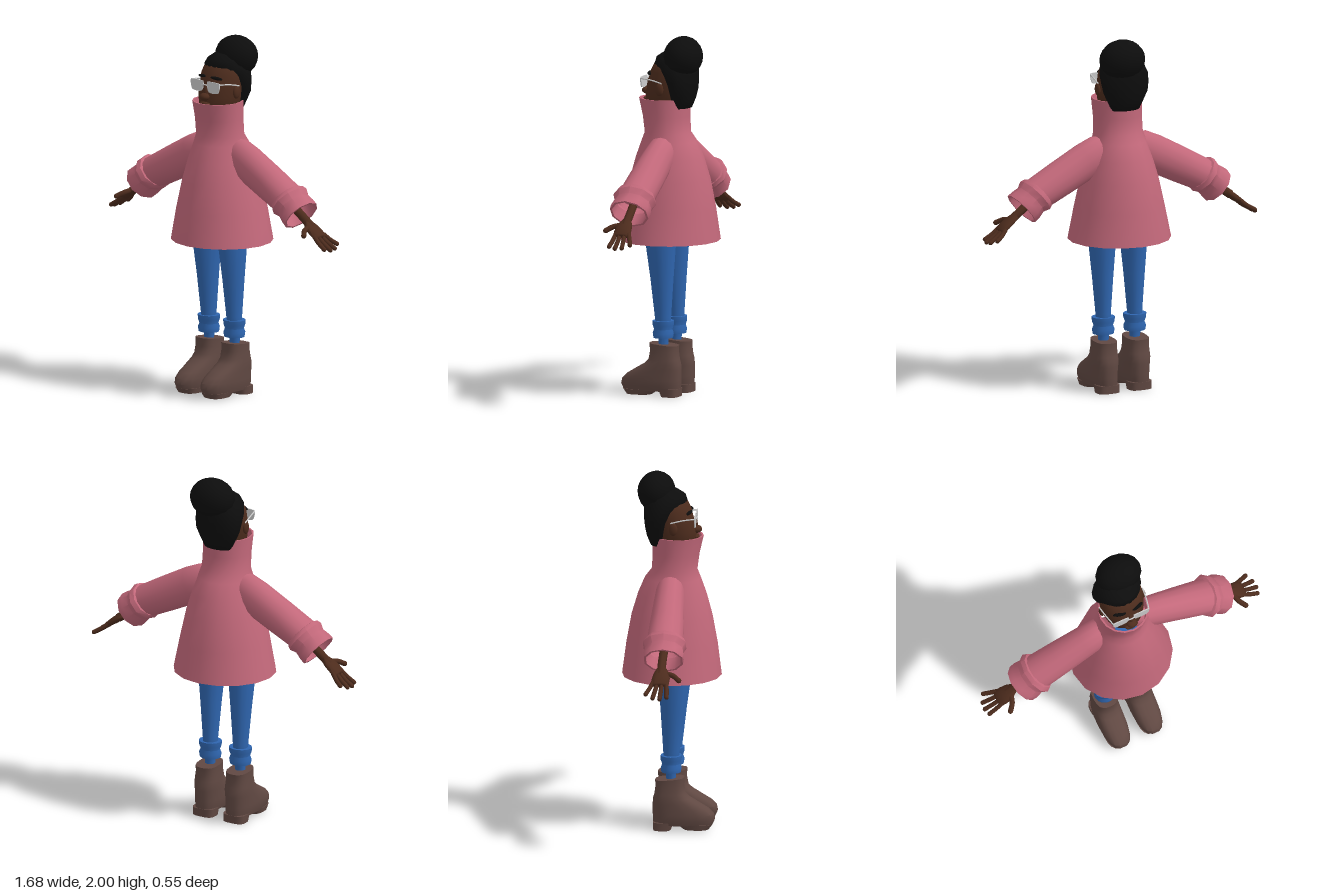
import * as THREE from 'three';
import { toCreasedNormals } from 'three/addons/utils/BufferGeometryUtils.js';

const mat = (color) => new THREE.MeshStandardMaterial({ color, side: THREE.DoubleSide });

// Skin a stack of rings [y, halfWidth, zBack, zFront, xCentre]; power < 1 squares the rings off
function loft(rings, { sides = 16, power = 1, cap = true, crease = 0.75 } = {}) {
  const pos = [], index = [];
  const pw = (v) => Math.sign(v) * Math.abs(v) ** power;
  for (const [y, rx, zb, zf, cx = 0] of rings) {
    for (let j = 0; j < sides; j++) {
      const a = (j / sides) * Math.PI * 2;
      pos.push(cx + rx * pw(Math.cos(a)), y, (zf + zb) / 2 + ((zf - zb) / 2) * pw(Math.sin(a)));
    }
  }
  for (let i = 0; i < rings.length - 1; i++) {
    for (let j = 0; j < sides; j++) {
      const a = i * sides + j, b = i * sides + ((j + 1) % sides);
      index.push(a, a + sides, b, b, a + sides, b + sides);
    }
  }
  if (cap) {
    [0, rings.length - 1].forEach((r, top) => {
      const [y, , zb, zf, cx = 0] = rings[r];
      const c = pos.length / 3;
      pos.push(cx, y, (zb + zf) / 2);
      for (let j = 0; j < sides; j++) {
        const a = r * sides + j, b = r * sides + ((j + 1) % sides);
        top ? index.push(c, b, a) : index.push(c, a, b);
      }
    });
  }
  const g = new THREE.BufferGeometry();
  g.setAttribute('position', new THREE.Float32BufferAttribute(pos, 3));
  g.setIndex(index);
  return toCreasedNormals(g, crease);
}

export function createModel() {
  const model = new THREE.Group();
  const coat = mat(0xc2687a), denim = mat(0x2f66b0), leather = mat(0x604842);
  const skin = mat(0x4d2c1d), black = mat(0x0d0d0d), grey = mat(0xcccccc);

  const add = (name, geo, material, parent = model) => {
    const m = new THREE.Mesh(geo, material);
    m.name = name;
    parent.add(m);
    return m;
  };
  const ball = (name, material, p, s, parent = model) => {
    const m = add(name, new THREE.SphereGeometry(1, 16, 12), material, parent);
    m.position.set(...p);
    m.scale.set(...s);
    return m;
  };
  const tube = (name, material, pts, r, parent = model) => add(name, new THREE.TubeGeometry(
    new THREE.CatmullRomCurve3(pts.map((p) => new THREE.Vector3(...p))), 10, r, 8), material, parent);
  const group = (name, p, rz) => {
    const g = new THREE.Group();
    g.name = name;
    g.position.set(...p);
    g.rotation.z = rz;
    model.add(g);
    return g;
  };
  const deg = Math.PI / 180;

  // Flared coat with tall open collar
  add('coatBody', loft([
    [0.87, 0.277, -0.262, 0.262], [0.86, 0.29, -0.277, 0.275], [1.04, 0.252, -0.253, 0.253],
    [1.2, 0.216, -0.224, 0.224], [1.32, 0.182, -0.188, 0.192], [1.41, 0.153, -0.15, 0.16],
    [1.46, 0.14, -0.112, 0.14], [1.55, 0.137, -0.108, 0.152], [1.65, 0.141, -0.11, 0.175],
    [1.65, 0.132, -0.1, 0.165], [1.56, 0.128, -0.098, 0.143],
  ], { cap: false }), coat);

  // Head, widening towards the jaw, and neck
  add('head', loft([
    [1.4, 0.06, -0.06, 0.05], [1.54, 0.065, -0.06, 0.06], [1.57, 0.085, -0.08, 0.115],
    [1.62, 0.108, -0.1, 0.137], [1.68, 0.121, -0.11, 0.136], [1.74, 0.125, -0.12, 0.122],
    [1.8, 0.122, -0.12, 0.108], [1.85, 0.105, -0.1, 0.082], [1.89, 0.06, -0.07, 0.03],
  ], { sides: 20, crease: 1.2 }), skin);
  ball('nose', skin, [0, 1.685, 0.136], [0.03, 0.022, 0.03]);
  ball('noseBridge', skin, [0, 1.715, 0.122], [0.016, 0.04, 0.02]);
  ball('upperLip', skin, [0, 1.645, 0.136], [0.04, 0.011, 0.016]);
  ball('lowerLip', skin, [0, 1.625, 0.134], [0.035, 0.012, 0.016]);

  // Swept-back hair and bun
  add('hair', loft([
    [1.6, 0.085, -0.12, -0.02], [1.65, 0.108, -0.14, -0.005], [1.7, 0.132, -0.15, 0.0],
    [1.75, 0.14, -0.155, 0.02], [1.8, 0.141, -0.157, 0.052], [1.845, 0.124, -0.152, 0.085],
    [1.88, 0.1, -0.14, 0.075], [1.91, 0.06, -0.11, 0.03],
  ], { sides: 18, crease: 1.2 }), black);
  ball('hairBun', black, [0.027, 1.888, -0.088], [0.132, 0.112, 0.106]);

  // Lens outline, wider along the top
  const lens = new THREE.Shape();
  lens.moveTo(-0.046, 0.03);
  lens.quadraticCurveTo(0, 0.035, 0.046, 0.03);
  lens.quadraticCurveTo(0.052, -0.005, 0.034, -0.028);
  lens.quadraticCurveTo(0, -0.037, -0.034, -0.028);
  lens.quadraticCurveTo(-0.052, -0.005, -0.046, 0.03);
  const lensGeo = new THREE.ExtrudeGeometry(lens, { depth: 0.006, bevelEnabled: false, curveSegments: 6 });
  tube('glassesBridge', grey, [[-0.02, 1.75, 0.136], [0, 1.754, 0.14], [0.02, 1.75, 0.136]], 0.004);

  // Pelvis joining the legs
  add('jeansHips', loft([
    [0.93, 0.06, -0.05, 0.06], [0.98, 0.15, -0.09, 0.11], [1.05, 0.17, -0.1, 0.11], [1.16, 0.15, -0.09, 0.1],
  ]), denim);

  for (const s of [1, -1]) {
    const side = s > 0 ? 'left' : 'right';

    // Face details and glasses
    ball(side + 'Ear', skin, [s * 0.126, 1.71, 0.015], [0.014, 0.036, 0.024]);
    const brow = ball(side + 'Brow', black, [s * 0.055, 1.79, 0.1], [0.037, 0.009, 0.012]);
    brow.rotation.set(0, s * 0.3, -s * 0.1);
    add(side + 'Lens', lensGeo, grey).position.set(s * 0.062, 1.742, 0.129);
    tube(side + 'Temple', grey, [[s * 0.108, 1.765, 0.132], [s * 0.122, 1.76, 0.07], [s * 0.132, 1.745, 0.0]], 0.004);

    // Sleeve and flared turned-up cuff, both running along their local y
    const sleeve = group(side + 'Sleeve', [s * 0.12, 1.36, 0], -s * 117 * deg);
    add('sleeve', loft([
      [-0.06, 0.06, -0.05, 0.05], [0, 0.098, -0.078, 0.078], [0.1, 0.105, -0.084, 0.084],
      [0.28, 0.1, -0.094, 0.094], [0.46, 0.092, -0.102, 0.102],
    ], { sides: 14, cap: false }), coat, sleeve);
    const cuff = group(side + 'Cuff', [s * 0.505, 1.17, 0], -s * 129 * deg);
    add('cuff', loft([
      [-0.005, 0.085, -0.098, 0.098], [0, 0.102, -0.113, 0.113], [0.025, 0.107, -0.125, 0.125],
      [0.06, 0.093, -0.108, 0.108], [0.1, 0.1, -0.115, 0.115], [0.133, 0.103, -0.112, 0.112],
      [0.133, 0.092, -0.1, 0.1], [0.06, 0.082, -0.095, 0.095],
    ], { sides: 10, cap: false }), coat, cuff);

    // Forearm, flat palm, four fingers and a thumb
    tube(side + 'Forearm', skin, [[s * 0.4, 1.21, 0], [s * 0.52, 1.145, 0], [s * 0.6, 1.09, -0.005], [s * 0.69, 1.025, -0.008]], 0.024);
    const hand = group(side + 'Hand', [s * 0.6, 1.09, 0], -s * 126 * deg);
    add('palm', loft([
      [0.06, 0.02, -0.03, 0.018], [0.1, 0.021, -0.048, 0.04], [0.14, 0.02, -0.056, 0.044],
      [0.18, 0.016, -0.06, 0.04], [0.19, 0.01, -0.055, 0.034],
    ], { sides: 12, crease: 1.2 }), skin, hand);
    [[-0.048, -0.083, 0.25], [-0.023, -0.043, 0.277], [0.002, -0.004, 0.283], [0.027, 0.034, 0.27]].forEach(([z0, z1, y1], i) => {
      tube('finger' + (i + 1), skin, [[0, 0.165, z0], [s * 0.004, (0.165 + y1) / 2, (z0 + z1) / 2], [0, y1, z1]], 0.0125, hand);
      ball('fingertip' + (i + 1), skin, [0, y1, z1], [0.0125, 0.013, 0.0125], hand);
    });
    tube('thumb', skin, [[0, 0.1, 0.02], [0, 0.115, 0.06], [0, 0.148, 0.094]], 0.0145, hand);
    ball('thumbTip', skin, [0, 0.148, 0.094], [0.0145, 0.0145, 0.0145], hand);

    // Tapered trouser leg, rolled cuff and narrow ankle
    const x = s * 0.098;
    add(side + 'TrouserLeg', loft([
      [0.27, 0.03, -0.025, 0.028, x], [0.34, 0.032, -0.028, 0.03, x], [0.37, 0.04, -0.04, 0.045, x],
      [0.44, 0.042, -0.042, 0.05, x], [0.65, 0.058, -0.055, 0.075, x],
      [0.86, 0.076, -0.07, 0.105, x], [1.0, 0.086, -0.085, 0.11, s * 0.09],
    ], { sides: 14 }), denim);
    add(side + 'TrouserCuff', loft([
      [0.325, 0.045, -0.038, 0.042, x], [0.325, 0.06, -0.052, 0.057, x], [0.35, 0.064, -0.056, 0.061, x],
      [0.372, 0.055, -0.048, 0.053, x], [0.395, 0.064, -0.056, 0.061, x],
      [0.42, 0.066, -0.056, 0.062, x], [0.42, 0.045, -0.04, 0.046, x],
    ], { sides: 14 }), denim);

    // Chunky ankle boot with separate heel and forefoot sole
    const bx = s * 0.099;
    const boot = add(side + 'Boot', loft([
      [0.03, 0.066, -0.096, 0.232, bx], [0.06, 0.074, -0.099, 0.246, bx], [0.09, 0.075, -0.1, 0.24, bx],
      [0.12, 0.074, -0.1, 0.21, bx], [0.15, 0.073, -0.1, 0.16, bx], [0.18, 0.072, -0.098, 0.108, bx],
      [0.205, 0.07, -0.09, 0.082, bx], [0.25, 0.065, -0.084, 0.074, bx], [0.29, 0.065, -0.086, 0.076, bx],
    ], { sides: 18, power: 0.75 }), leather);
    // Boot top slopes down to the back
    const p = boot.geometry.attributes.position;
    for (let i = 0; i < p.count; i++) if (p.getY(i) > 0.28) p.setY(i, p.getY(i) + p.getZ(i) * 0.09);
    add(side + 'Heel', loft([
      [0, 0.066, -0.096, 0.002, bx], [0.045, 0.068, -0.098, 0.02, bx],
    ], { sides: 18, power: 0.6 }), leather);
    add(side + 'Sole', loft([
      [0.006, 0.062, 0.07, 0.212, bx], [0.035, 0.068, 0.03, 0.234, bx],
    ], { sides: 18, power: 0.75 }), leather);
  }
  return model;
}
